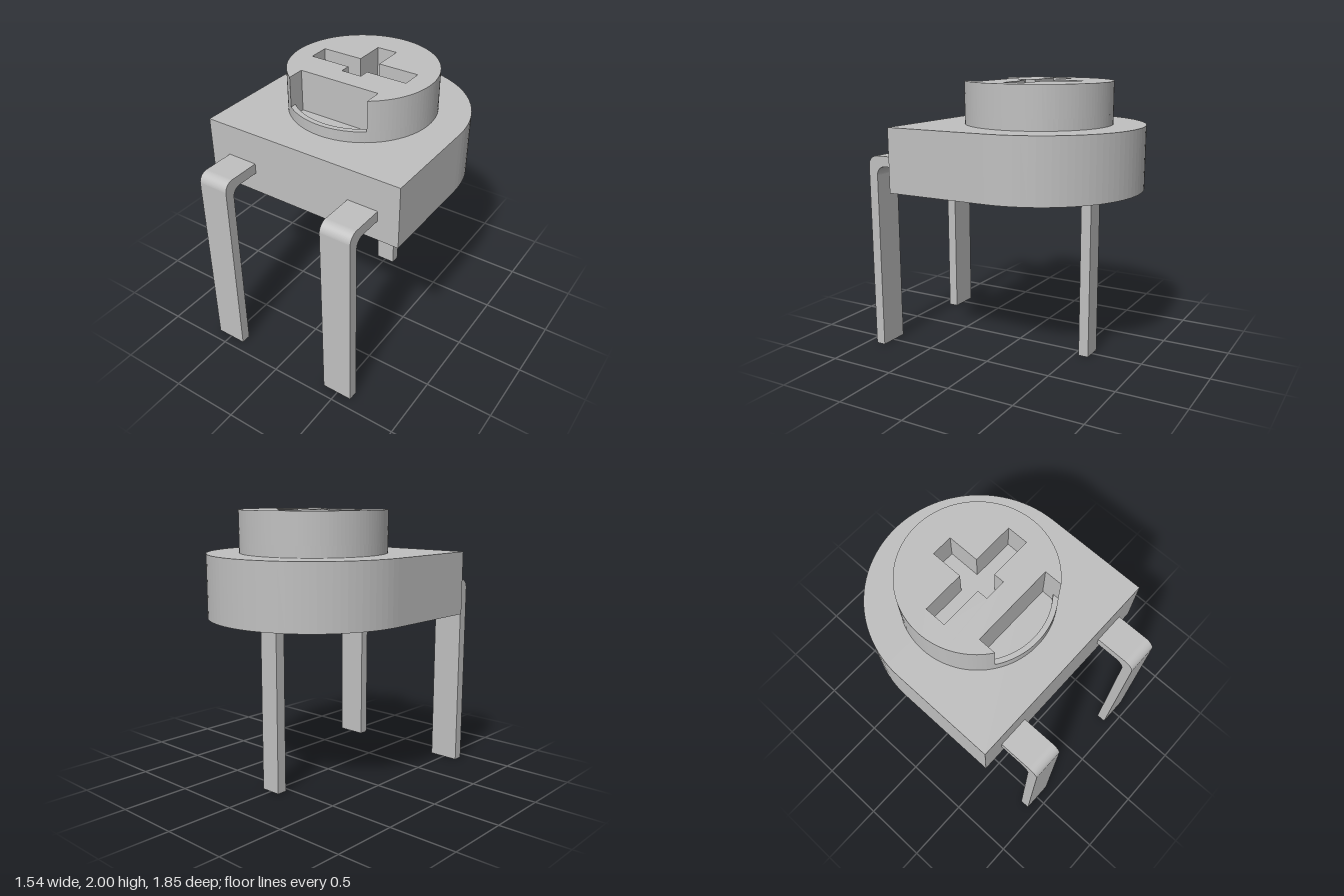
import * as THREE from 'three';

const CZ = 0.155;      // knob and body arc centre, measured toward the back
const KNOB_R = 0.535;

export function createModel() {
  const model = new THREE.Group();
  model.name = 'trimmerPotentiometer';
  const grey = new THREE.MeshStandardMaterial({ color: 0xc0c0c0 });
  grey.name = 'plain grey';

  const add = (name, geometry) => {
    const mesh = new THREE.Mesh(geometry, grey);
    mesh.name = name;
    model.add(mesh);
    return mesh;
  };

  // Raises a plan outline (x right, y toward the back) from y0 to y1
  const slab = (shape, y0, y1, curveSegments) =>
    new THREE.ExtrudeGeometry(shape, { depth: y1 - y0, bevelEnabled: false, curveSegments })
      .rotateX(-Math.PI / 2).translate(0, y0, 0);

  // Body: square front, half-round back
  const body = new THREE.Shape();
  body.moveTo(-0.77, -0.615);
  body.lineTo(0.77, -0.615);
  body.lineTo(0.77, CZ);
  body.absarc(0, CZ, 0.77, 0, Math.PI, false);
  body.closePath();
  add('body', slab(body, 1.235, 1.695, 24));

  // Knob base: disc with a pocket behind its front rim
  const base = new THREE.Shape();
  base.absarc(0, CZ, KNOB_R, 0, Math.PI * 2, false);
  const innerR = 0.497, half = Math.asin(0.31 / innerR);
  const pocket = new THREE.Path();
  pocket.moveTo(0.31, -0.15);
  pocket.lineTo(-0.31, -0.15);
  pocket.absarc(0, CZ, innerR, -Math.PI / 2 - half, -Math.PI / 2 + half, false);
  pocket.closePath();
  base.holes.push(pocket);
  add('knobBase', slab(base, 1.695, 1.775, 48));

  // Knob top: notched at the front, with a cross-shaped driver slot
  const top = new THREE.Shape();
  const cut = Math.asin(0.31 / KNOB_R);
  top.absarc(0, CZ, KNOB_R, -Math.PI / 2 + cut, Math.PI * 1.5 - cut, false);
  top.lineTo(-0.31, -0.15);
  top.lineTo(0.31, -0.15);
  top.closePath();
  const a = 0.077, b = 0.385, lo = 0.078, hi = 0.233;
  top.holes.push(new THREE.Path([
    [-a, 0], [-a, lo], [-b, lo], [-b, hi], [-a, hi], [-a, 0.465],
    [a, 0.465], [a, hi], [b, hi], [b, lo], [a, lo], [a, 0],
  ].map(([x, y]) => new THREE.Vector2(x, y))));
  add('knobTop', slab(top, 1.775, 2, 48));

  // Front leads: flat strips bent down from the body
  const lead = new THREE.Shape();
  lead.moveTo(0.61, 1.385);
  lead.lineTo(0.785, 1.385);
  lead.absarc(0.785, 1.318, 0.067, Math.PI / 2, 0, true);
  lead.lineTo(0.852, 0);
  lead.lineTo(0.925, 0);
  lead.lineTo(0.925, 1.39);
  lead.absarc(0.852, 1.388, 0.073, 0, Math.PI / 2, false);
  lead.lineTo(0.61, 1.461);
  lead.closePath();
  for (const [name, x] of [['leftLead', 0.4975], ['rightLead', -0.4975]]) {
    add(name, new THREE.ExtrudeGeometry(lead, { depth: 0.23, bevelEnabled: false, curveSegments: 8 })
      .rotateY(-Math.PI / 2).translate(x + 0.115, 0, 0));
  }

  // Back lead: straight pin under the body
  add('backLead', new THREE.BoxGeometry(0.154, 1.235, 0.076))
    .position.set(0, 0.6175, -0.575);

  return model;
}
